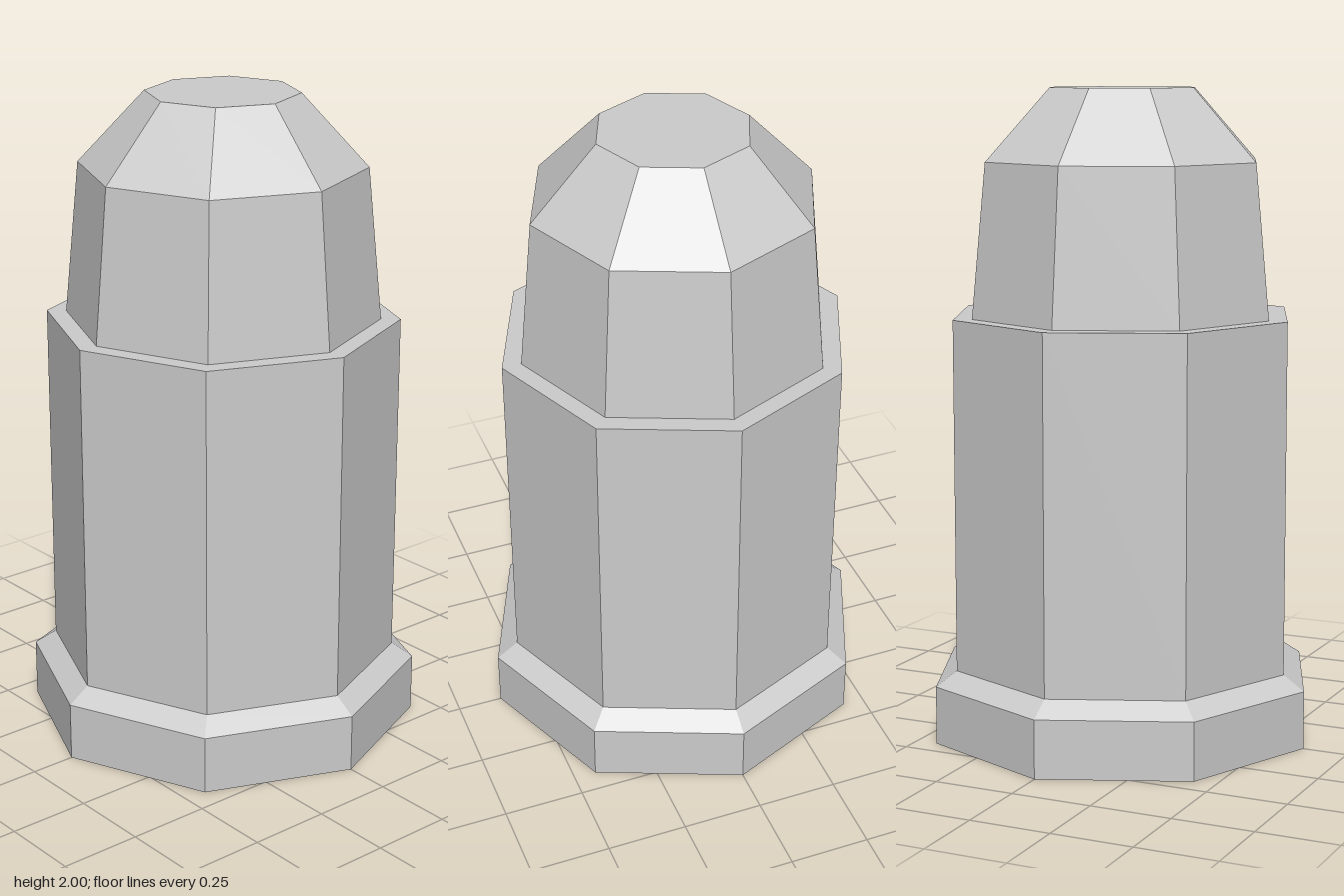
import * as THREE from 'three';

const SIDES = 8;

export function createModel() {
  const group = new THREE.Group();
  const material = new THREE.MeshStandardMaterial({ color: 0xcccccc, flatShading: true });

  // Eight-sided turned part from [radius, height] points, bottom to top
  function turned(name, profile) {
    const points = profile.map(([r, y]) => new THREE.Vector2(r, y));
    const mesh = new THREE.Mesh(new THREE.LatheGeometry(points, SIDES), material);
    mesh.name = name;
    group.add(mesh);
  }

  // Closed base rim with a chamfered upper edge
  turned('baseRim', [[0, 0], [0.61, 0], [0.61, 0.18], [0.543, 0.225]]);

  // Straight casing with a narrow ledge on top
  turned('casing', [[0.543, 0.225], [0.543, 1.31], [0.483, 1.31]]);

  // Tapered tip with a blunt flat end
  turned('tip', [[0.483, 1.31], [0.438, 1.78], [0.234, 2], [0, 2]]);

  return group;
}
